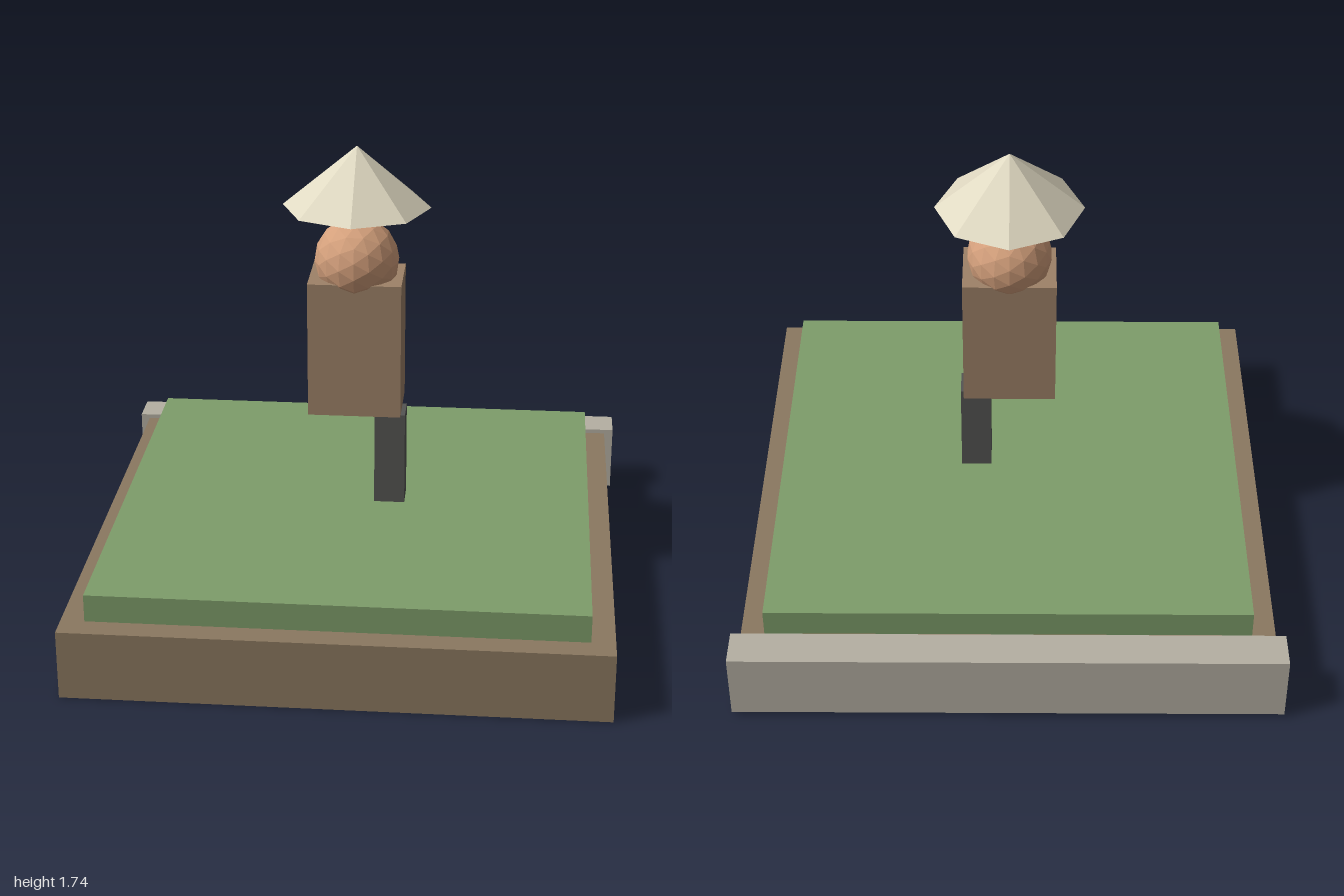
import * as THREE from 'three';

const CENTER_Z = 0.035; // the figure and slab share this depth centre

export function createModel() {
  const model = new THREE.Group();

  function add(parent, name, geometry, color, x, y, z) {
    const material = new THREE.MeshStandardMaterial({ color, flatShading: true });
    const mesh = new THREE.Mesh(geometry, material);
    mesh.name = name;
    mesh.position.set(x, y, z);
    parent.add(mesh);
    return mesh;
  }
  const box = (w, h, d) => new THREE.BoxGeometry(w, h, d);

  // Ground: soil slab, raised grass and stone kerb along the back
  const ground = new THREE.Group();
  ground.name = 'ground';
  add(ground, 'soilSlab', box(1.93, 0.258, 1.93), 0x8b7860, 0, 0.129, CENTER_Z);
  add(ground, 'grass', box(1.76, 0.102, 1.755), 0x7e9d6a, 0, 0.309, CENTER_Z);
  add(ground, 'backKerb', box(2, 0.258, 0.14), 0xb5b0a3, 0, 0.145, -0.93);

  // Figure: single leg, block torso, faceted head and floating hat
  const figure = new THREE.Group();
  figure.name = 'figure';
  figure.position.z = CENTER_Z;
  add(figure, 'leftLeg', box(0.114, 0.358, 0.114), 0x555553, 0.127, 0.545, 0);
  add(figure, 'torso', box(0.342, 0.512, 0.257), 0x9e8268, 0, 1.002, 0);
  add(figure, 'head', new THREE.IcosahedronGeometry(0.156, 2), 0xd4a07c, 0, 1.316, 0);
  add(figure, 'conicalHat', new THREE.ConeGeometry(0.27, 0.225, 8), 0xe0d9c2, 0, 1.632, 0);

  model.add(ground, figure);
  return model;
}
